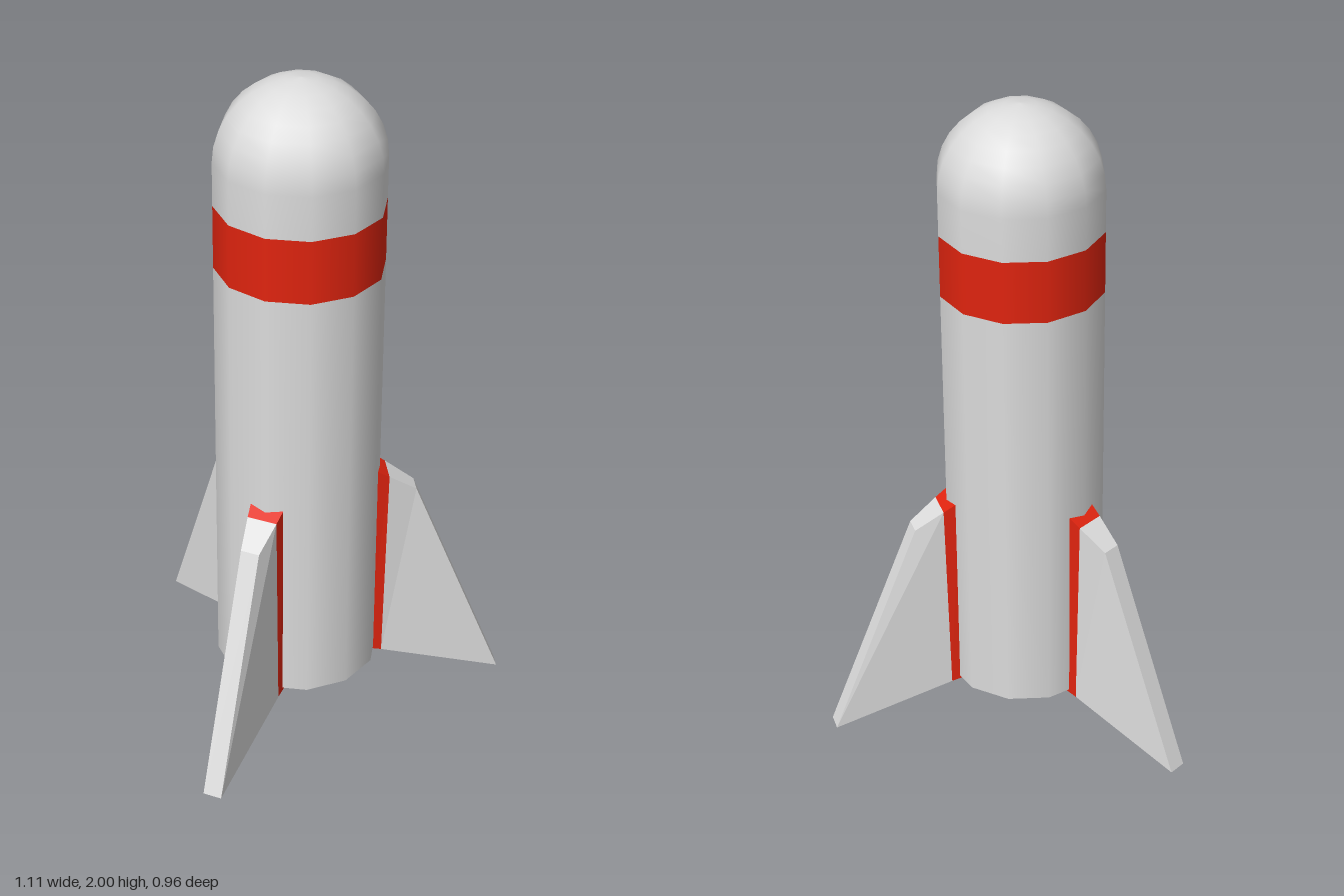
import * as THREE from 'three';

const SIDES = 12, RADIUS = 0.243, AXIS_Z = 0.145;

// Block lofted between fin sections; each section is [top, bottom] of [reach, height, half width]
function loft(inner, outer, capInner) {
  const corners = ([t, b]) => [
    [-t[2], t[1], t[0]], [t[2], t[1], t[0]],
    [b[2], b[1], b[0]], [-b[2], b[1], b[0]],
  ];
  const a = corners(inner), b = corners(outer), positions = [];
  const quad = (p, q, r, s) => positions.push(...p, ...q, ...r, ...p, ...r, ...s);
  for (let i = 0; i < 4; i++) {
    const j = (i + 1) % 4;
    quad(a[i], b[i], b[j], a[j]);
  }
  if (capInner) quad(a[0], a[1], a[2], a[3]);
  else quad(b[3], b[2], b[1], b[0]);
  const geometry = new THREE.BufferGeometry();
  geometry.setAttribute('position', new THREE.Float32BufferAttribute(positions, 3));
  geometry.computeVertexNormals();
  return geometry;
}

export function createModel() {
  const white = new THREE.MeshStandardMaterial({ color: 0xdcdcdc });
  white.name = 'light grey paint';
  const red = new THREE.MeshStandardMaterial({ color: 0xe0240f });
  red.name = 'red paint';

  const model = new THREE.Group();
  model.name = 'rocket';
  const add = (parent, name, geometry, material) => {
    const mesh = new THREE.Mesh(geometry, material);
    mesh.name = name;
    parent.add(mesh);
    return mesh;
  };
  const turned = (points) =>
    new THREE.LatheGeometry(points.map(([r, y]) => new THREE.Vector2(r, y)), SIDES);

  // Hull, stripe and domed nose share one axis
  const hull = new THREE.Group();
  hull.name = 'hull';
  hull.position.z = AXIS_Z;
  model.add(hull);
  add(hull, 'lowerBody', turned([[RADIUS, 0.125], [RADIUS, 1.44]]), white);
  add(hull, 'stripe', turned([[RADIUS, 1.44], [RADIUS, 1.63]]), red);

  const nose = [[RADIUS, 1.63]];
  const rings = 8;
  for (let i = 0; i <= rings; i++) {
    const angle = (i / rings) * Math.PI / 2;
    nose.push([i === rings ? 0 : RADIUS * Math.cos(angle), 1.76 + 0.24 * Math.sin(angle)]);
  }
  add(hull, 'nose', turned(nose), white);

  // Flat underside
  const base = add(hull, 'base', new THREE.CircleGeometry(RADIUS, SIDES), white);
  base.rotation.set(Math.PI / 2, 0, 0);
  base.position.y = 0.125;

  // Three tapering fins, each with a red root
  const root = [[0.22, 0.767, 0.052], [0.21, 0.12, 0.052]];
  const seam = [[0.265, 0.738, 0.045], [0.255, 0.108, 0.048]];
  const edge = [[0.35, 0.68, 0.028], [0.625, 0, 0.028]];
  const rootGeometry = loft(root, seam, true);
  const bladeGeometry = loft(seam, edge, false);
  const directions = { backFin: Math.PI, leftFin: Math.PI / 3, rightFin: -Math.PI / 3 };
  for (const [name, angle] of Object.entries(directions)) {
    const fin = new THREE.Group();
    fin.name = name;
    fin.position.z = AXIS_Z;
    fin.rotation.y = angle;
    add(fin, 'finRoot', rootGeometry, red);
    add(fin, 'finBlade', bladeGeometry, white);
    model.add(fin);
  }
  return model;
}
